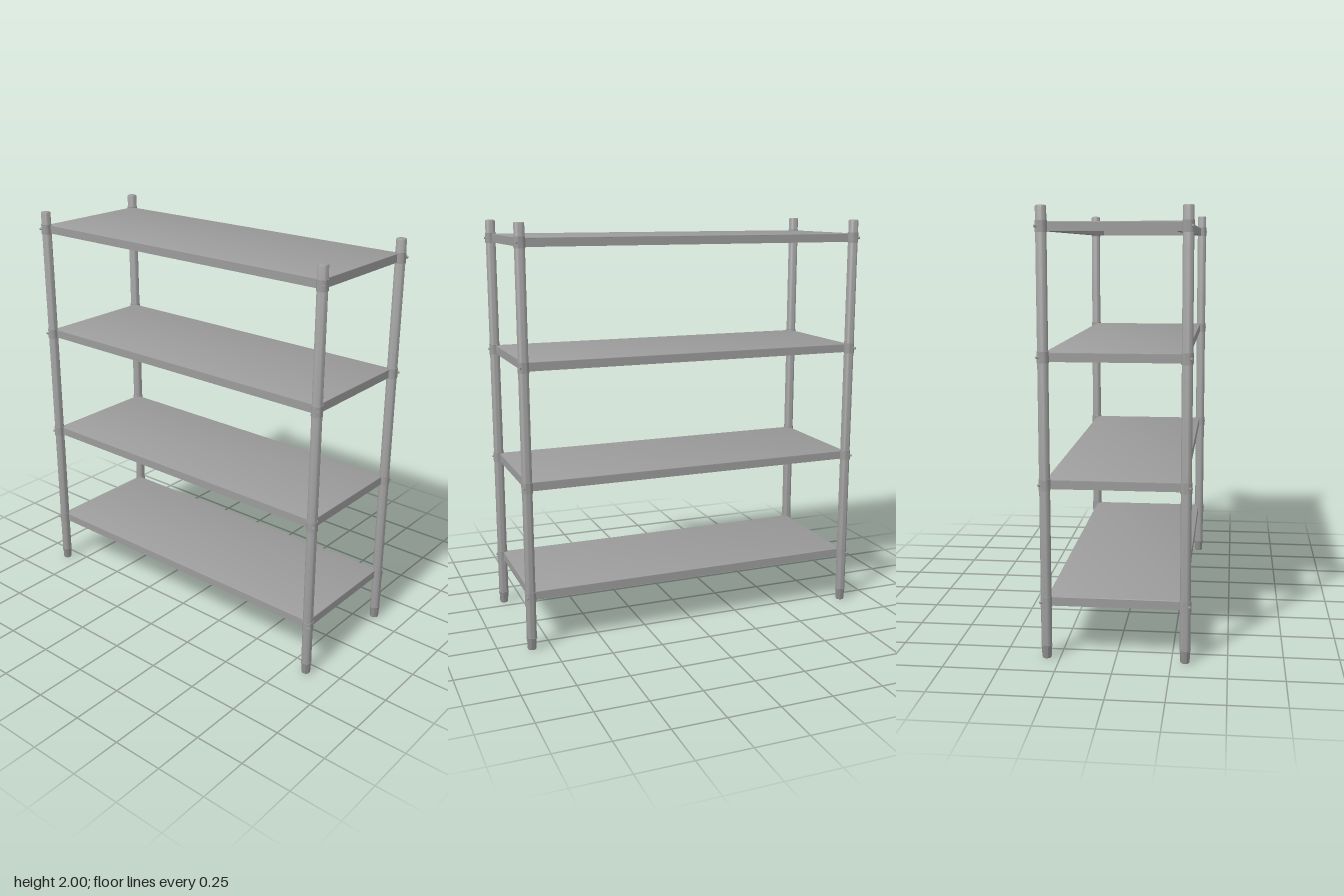
import * as THREE from 'three';
import { toCreasedNormals } from 'three/addons/utils/BufferGeometryUtils.js';

const material = new THREE.MeshStandardMaterial({ color: 0x9c9c9c });
const POST_X = 0.844, POST_Z = 0.311, POST_R = 0.024;
const SHELF_X = 0.842, SHELF_Z = 0.307, SHELF_H = 0.042;
const SHELF_TOPS = [0.283, 0.818, 1.379, 1.933];

function addMesh(parent, geometry, name) {
  const mesh = new THREE.Mesh(geometry, material);
  mesh.name = name;
  parent.add(mesh);
  return mesh;
}

function lathe(points) {
  const profile = points.map(([r, y]) => new THREE.Vector2(r, y));
  return toCreasedNormals(new THREE.LatheGeometry(profile, 24), 0.8);
}

// Rectangle inset from the shelf outline
function outline(Type, inset) {
  const x = SHELF_X - inset, z = SHELF_Z - inset;
  return new Type([[-x, -z], [x, -z], [x, z], [-x, z]].map(([a, b]) => new THREE.Vector2(a, b)));
}

// Flat rectangular frame standing on y
function frame(outer, inner, y, height) {
  const shape = outline(THREE.Shape, outer);
  shape.holes.push(outline(THREE.Path, inner));
  const geometry = new THREE.ExtrudeGeometry(shape, { depth: height, bevelEnabled: false });
  return geometry.rotateX(-Math.PI / 2).translate(0, y, 0);
}

// Top plate with a small rounded edge
function plate(top, round) {
  const geometry = new THREE.ExtrudeGeometry(outline(THREE.Shape, 0), {
    depth: 0.0005, bevelThickness: round, bevelSize: round, bevelOffset: -round, bevelSegments: 3,
  });
  geometry.rotateX(-Math.PI / 2).translate(0, top - round - 0.0005, 0);
  return toCreasedNormals(geometry, 0.8);
}

// Folded sheet pan, open below, with a return flange and upturned lip
function createShelf(top) {
  const shelf = new THREE.Group();
  const t = 0.004, flange = 0.05, bottom = top - SHELF_H;
  shelf.name = 'shelf';
  addMesh(shelf, plate(top, t), 'shelfTop');
  addMesh(shelf, frame(0, t, bottom, SHELF_H - t), 'shelfSkirt');
  addMesh(shelf, frame(t, flange, bottom, t), 'shelfFlange');
  addMesh(shelf, frame(flange - t, flange, bottom + t, 0.024), 'shelfLip');
  return shelf;
}

function createPost(sx, sz) {
  const post = new THREE.Group();
  post.name = 'cornerPost';
  post.position.set(sx * POST_X, 0, sz * POST_Z);

  // Tube with a gently rounded cap
  addMesh(post, lathe([
    [0, 0.06], [POST_R, 0.06], [POST_R, 1.992], [0.0232, 1.996], [0.0212, 1.9985], [0.018, 1.9996], [0, 2],
  ]), 'postTube');

  // Tapered foot with a thin shoulder ring
  addMesh(post, lathe([
    [0, 0], [0.019, 0], [0.021, 0.004], [0.0228, 0.05], [0.0255, 0.053], [0.0255, 0.06], [0, 0.062],
  ]), 'foot');

  SHELF_TOPS.forEach((top) => {
    const y = top - SHELF_H / 2;
    // Clamp sleeve around the tube
    addMesh(post, lathe([
      [POST_R, y - 0.025], [0.0265, y - 0.025], [0.0265, y + 0.025], [POST_R, y + 0.025],
    ]), 'collar');
    // Bolt pointing diagonally outward
    const bolt = new THREE.CylinderGeometry(0.006, 0.007, 0.014, 12);
    bolt.rotateX(Math.PI / 2).translate(0, 0, 0.028);
    const mesh = addMesh(post, bolt, 'bolt');
    mesh.position.y = y;
    mesh.rotation.y = Math.atan2(sx, sz);
  });
  return post;
}

export function createModel() {
  const model = new THREE.Group();
  model.name = 'shelvingUnit';
  SHELF_TOPS.forEach((top) => model.add(createShelf(top)));
  for (const sx of [-1, 1]) {
    for (const sz of [-1, 1]) model.add(createPost(sx, sz));
  }
  return model;
}
